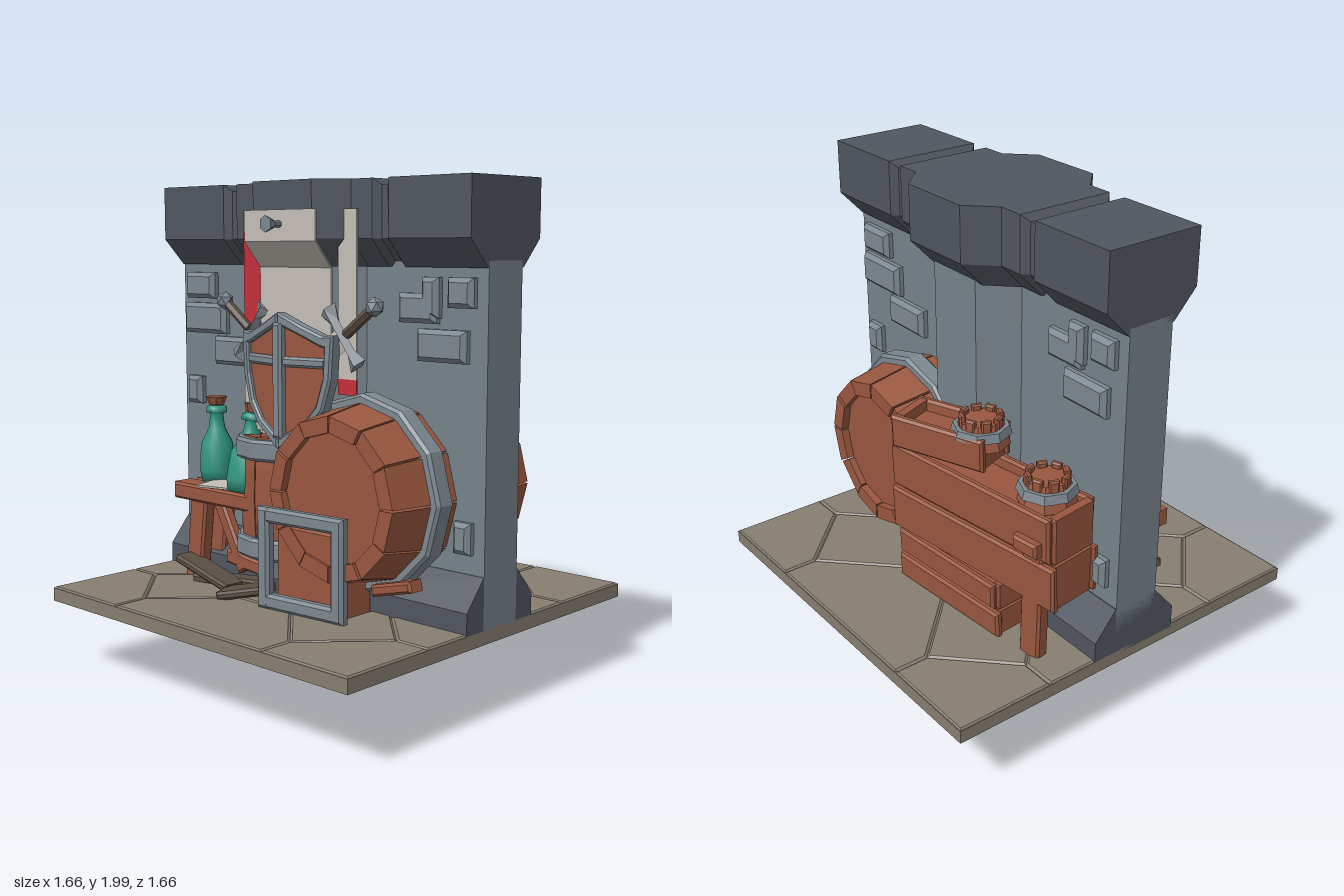
import * as THREE from 'three';

const mat = (name, color) => Object.assign(new THREE.MeshStandardMaterial({ color }), { name });
const M = {
  wall: mat('wall stone', 0x76828a), dark: mat('dark stone', 0x50565f), floor: mat('floor stone', 0x887e71),
  steel: mat('steel', 0x7c878f), wood: mat('red wood', 0x99573f), old: mat('old wood', 0x5b4d42),
  cloth: mat('pale cloth', 0xc4beb6), red: mat('red cloth', 0xc42f38), glass: mat('green glass', 0x2f9780),
};

// Flat-shaded solid through convex rings of [x, y, z] points
function loft(rings) {
  const pos = [], n = rings[0].length;
  const tri = (a, b, c) => pos.push(...a, ...b, ...c);
  for (let i = 0; i + 1 < rings.length; i++)
    for (let j = 0; j < n; j++) {
      const k = (j + 1) % n, A = rings[i], B = rings[i + 1];
      tri(A[j], A[k], B[k]);
      tri(A[j], B[k], B[j]);
    }
  const end = rings[rings.length - 1];
  for (let j = 1; j + 1 < n; j++) {
    tri(rings[0][0], rings[0][j + 1], rings[0][j]);
    tri(end[0], end[j], end[j + 1]);
  }
  // turn the faces outwards
  const a = new THREE.Vector3(), b = new THREE.Vector3(), c = new THREE.Vector3();
  let vol = 0;
  for (let i = 0; i < pos.length; i += 9)
    vol += a.fromArray(pos, i).dot(b.fromArray(pos, i + 3).cross(c.fromArray(pos, i + 6)));
  if (vol < 0) for (let i = 0; i < pos.length; i += 9)
    for (let j = 0; j < 3; j++) [pos[i + 3 + j], pos[i + 6 + j]] = [pos[i + 6 + j], pos[i + 3 + j]];
  const g = new THREE.BufferGeometry();
  g.setAttribute('position', new THREE.Float32BufferAttribute(pos, 3));
  g.computeVertexNormals();
  return g;
}

const flat = (g) => { g = g.index ? g.toNonIndexed() : g; g.computeVertexNormals(); return g; };
const shapeOf = (pts) => new THREE.Shape(pts.map(([x, y]) => new THREE.Vector2(x, y)));

function add(parent, name, geo, m, p = [0, 0, 0], r = [0, 0, 0]) {
  const mesh = new THREE.Mesh(geo, m);
  mesh.name = name;
  mesh.position.set(...p);
  mesh.rotation.set(...r);
  parent.add(mesh);
  return mesh;
}
function group(parent, name, p = [0, 0, 0], r = [0, 0, 0]) {
  const g = new THREE.Group();
  g.name = name;
  g.position.set(...p);
  g.rotation.set(...r);
  parent.add(g);
  return g;
}

// Extrusion with a one-step bevel that keeps the outline size
const slab = (pts, d, b) => new THREE.ExtrudeGeometry(shapeOf(pts), {
  depth: d - 2 * b, bevelThickness: b, bevelSize: b, bevelOffset: -b, bevelSegments: 1,
}).translate(0, 0, b);
const block = (w, h, d, b = 0.01) =>
  slab([[-w / 2, -h / 2], [w / 2, -h / 2], [w / 2, h / 2], [-w / 2, h / 2]], d, b).translate(0, 0, -d / 2);

// Wall, plinth and notched coping, lofted along x
function wall(root) {
  const g = group(root, 'wall');
  const mirror = (s) => [...s.map(([x, ...v]) => [-x, ...v]), ...s.slice().reverse()];
  const ring = (x, prof) => [...prof.map(([y, z]) => [x, y, z]), ...prof.slice().reverse().map(([y, z]) => [x, y, -z])];
  const plan = mirror([[0.83, 0.1], [0.25, 0.1], [0.13, 0.225]]);
  add(g, 'wallBody', loft(plan.map(([x, d]) => ring(x, [[0.34, d], [1.7, d]]))), M.wall);
  add(g, 'plinth', loft(plan.map(([x, d]) => ring(x, [[0.34, d + 0.1], [0.44, d + 0.1], [0.555, d + 0.003]]))), M.dark);
  const cap = mirror([[0.83, 0.207, 2], [0.45, 0.207, 2], [0.425, 0.18, 1.975], [0.395, 0.18, 1.975], [0.37, 0.207, 2],
    [0.265, 0.207, 2], [0.16, 0.312, 2]]);
  add(g, 'coping', loft(cap.map(([x, d, t]) => ring(x, [[1.675, d - 0.1], [1.78, d], [t, d]]))), M.dark);
  // raised bricks: x0, x1, y0, y1, repeated on the back by a half turn
  const bricks = [[-0.79, -0.61, 1.53, 1.64], [-0.8, -0.54, 1.38, 1.51], [-0.61, -0.37, 1.25, 1.37], [-0.79, -0.7, 1.07, 1.19],
    [-0.7, -0.53, 0.65, 0.77], [-0.47, -0.33, 0.79, 0.91], [0.43, 0.61, 1.47, 1.58], [0.54, 0.62, 1.49, 1.64],
    [0.66, 0.78, 1.53, 1.64], [0.52, 0.75, 1.33, 1.45], [0.7, 0.78, 0.63, 0.75]];
  for (const turn of [0, Math.PI]) {
    const side = group(g, 'bricks', [0, 0, 0], [0, turn, 0]);
    for (const [a, b, c, d] of bricks)
      add(side, 'brick', block(b - a, d - c, 0.06, 0.018), M.steel, [(a + b) / 2, (c + d) / 2, 0.107]);
  }
}

// Paving of octagons and diamonds on a hollow tray
function paving(root) {
  const g = group(root, 'floor');
  add(g, 'floorBase', new THREE.BoxGeometry(1.65, 0.01, 1.65), M.floor, [0, 0.34, 0]);
  for (let i = 0; i < 4; i++) {
    const a = i * Math.PI / 2;
    add(g, 'floorEdge', new THREE.BoxGeometry(1.66, 0.054, 0.012), M.floor,
      [0.824 * Math.sin(a), 0.327, 0.824 * Math.cos(a)], [0, a, 0]);
  }
  const p = 0.145, q = 0.415, s = 0.685, e = 0.83;
  const tile = (pts, turn) => add(g, 'floorTile', slab(pts, 0.022, 0.009).rotateX(-Math.PI / 2), M.floor, [0, 0.338, 0], [0, turn, 0]);
  tile([[p, q], [-p, q], [-q, p], [-q, -p], [-p, -q], [p, -q], [q, -p], [q, p]], 0);
  for (let i = 0; i < 4; i++) {
    const a = i * Math.PI / 2;
    tile([[p, q], [q, p], [s, q], [q, s]], a);
    tile([[q, p], [q, -p], [s, -q], [e, -q], [e, q], [s, q]], a);
    tile([[s, q], [e, q], [e, e], [q, e], [q, s]], a);
  }
}

// Barrel along y with separate staves, recessed lids and hoops
function barrel(parent, name, p, r, len, rEnd, rMid, hoopY, hoopW, n = 12) {
  const g = group(parent, name, p, r), half = Math.PI / n - 0.012;
  const rad = (y) => rMid - (rMid - rEnd) * (2 * y / len) ** 2;
  for (let i = 0; i < n; i++) {
    const a = (i + 0.5) * 2 * Math.PI / n, cut = i % 3 === 1 ? 0.985 : 1;
    const rings = [-0.5, -0.25, 0, 0.25, 0.5].map((t) => {
      const y = t * len * cut, R = rad(y), k = rEnd * 0.8;
      return [[a - half, R], [a + half, R], [a + half, k], [a - half, k]].map(([u, v]) => [v * Math.sin(u), y, v * Math.cos(u)]);
    });
    add(g, 'stave', loft(rings), M.wood);
  }
  add(g, 'lid', flat(new THREE.CylinderGeometry(rEnd * 0.83, rEnd * 0.83, len * 0.92, n)), M.wood);
  for (const s of [-1, 1]) {
    const R = rad(hoopY) + 0.03, k = R - 0.07, w = hoopW / 2;
    const prof = [[k, -w], [R - 0.012, -w], [R, -w + 0.012], [R, w - 0.012], [R - 0.012, w], [k, w]].map((v) => new THREE.Vector2(...v));
    add(g, 'hoop', flat(new THREE.LatheGeometry(prof, n)), M.steel, [0, s * hoopY, 0]);
  }
}

// Shield over two crossed swords, measured from the shield centre
function arms(root, y, z) {
  const g = group(root, 'shieldAndSwords', [0, y, z]);
  const outer = [[0, 0.25], [0.11, 0.2], [0.2, 0.165], [0.25, 0.17], [0.24, 0], [0.205, -0.12], [0.14, -0.2], [0, -0.285]];
  const inner = [[0, 0.205], [0.11, 0.16], [0.19, 0.125], [0.21, 0.12], [0.203, 0], [0.172, -0.105], [0.115, -0.175], [0, -0.24]];
  const fold = (geo) => {
    const a = geo.attributes.position;
    for (let i = 0; i < a.count; i++) a.setZ(i, a.getZ(i) - 0.2 * Math.abs(a.getX(i)));
    return flat(geo);
  };
  const rim = fold(slab([...outer, ...inner.slice().reverse()], 0.055, 0.008));
  const panel = fold(new THREE.ExtrudeGeometry(shapeOf(inner), { depth: 0.025, bevelEnabled: false }).translate(0, 0, 0.01));
  const bar = fold(block(0.215, 0.04, 0.05).translate(0.107, 0.06, 0.025));
  for (const s of [1, -1]) {
    const h = group(g, 'shieldHalf');
    h.scale.x = s;
    add(h, 'shieldRim', rim, M.steel);
    add(h, 'shieldPanel', panel, M.wood);
    add(h, 'shieldCrossbar', bar, M.steel);
    // sword pointing along local +x
    const w = group(h, 'sword', [-0.42, 0.28, s > 0 ? -0.06 : -0.045], [0, 0, -0.64]);
    add(w, 'pommel', flat(new THREE.IcosahedronGeometry(0.038, 0)), M.steel);
    add(w, 'grip', flat(new THREE.CylinderGeometry(0.02, 0.02, 0.16, 6)), M.old, [0.1, 0, 0], [0, 0, Math.PI / 2]);
    add(w, 'guard', loft([[-0.13, 0.045], [-0.07, 0.02], [0.07, 0.02], [0.13, 0.045]].map(([v, d]) =>
      [[0.2 - d, v, 0], [0.2, v, 0.025], [0.2 + d, v, 0], [0.2, v, -0.025]])), M.steel);
    add(w, 'blade', loft([[0.2, 0.045], [0.78, 0.06], [0.875, 0.002]].map(([x, v]) =>
      [[x, v, 0], [x, 0, 0.012], [x, -v, 0], [x, 0, -0.012]])), M.cloth);
  }
  add(g, 'shieldSpine', block(0.05, 0.45, 0.06), M.steel, [0, -0.015, 0.03]);
}

// Hanging cloth along a path of [y, z]
function ribbon(root, name, x0, x1, path, m) {
  add(root, name, loft(path.map(([y, z]) => [[x0, y, z], [x1, y, z], [x1, y, z - 0.008], [x0, y, z - 0.008]])), m);
}

function bottle(root, p, r, s) {
  const g = group(root, 'bottle', p, r);
  const prof = [[0, 0], [0.065, 0], [0.075, 0.05], [0.07, 0.16], [0.035, 0.23], [0.028, 0.29], [0.045, 0.295], [0.045, 0.315], [0.03, 0.325], [0, 0.325]];
  add(g, 'bottleGlass', new THREE.LatheGeometry(prof.map(([x, y]) => new THREE.Vector2(x * s, y)), 12), M.glass);
  add(g, 'cork', flat(new THREE.CylinderGeometry(0.045, 0.032, 0.035, 8)), M.wood, [0, 0.345, 0]);
}

export function createModel() {
  const root = new THREE.Group();
  root.name = 'dungeonWall';
  wall(root);
  paving(root);

  barrel(root, 'lyingBarrel', [0.34, 0.82, 0], [Math.PI / 2, 0, 0], 0.82, 0.315, 0.365, 0.19, 0.09);
  barrel(root, 'standingBarrel', [-0.13, 0.75, 0.13], [0, 0, 0], 0.5, 0.2, 0.215, 0.2, 0.085);
  arms(root, 1.25, 0.29);
  arms(root, 0.295, 0.04);

  // banner, side streamers and peg
  ribbon(root, 'banner', -0.2, 0.19, [[1.89, 0.322], [1.77, 0.322], [1.67, 0.238], [1, 0.236]], M.cloth);
  ribbon(root, 'leftStreamer', 0.215, 0.31, [[1.89, 0.225], [1.25, 0.225]], M.cloth);
  ribbon(root, 'leftStreamerEnd', 0.215, 0.31, [[1.25, 0.225], [1.19, 0.225]], M.red);
  ribbon(root, 'rightStreamer', -0.31, -0.21, [[1.89, 0.225], [1.26, 0.225]], M.red);
  ribbon(root, 'rightStreamerEnd', -0.31, -0.21, [[1.26, 0.225], [1, 0.225]], M.cloth);
  add(root, 'pegHead', flat(new THREE.CylinderGeometry(0.033, 0.018, 0.04, 6)), M.steel, [0, 1.835, 0.378], [Math.PI / 2, 0, 0]);
  add(root, 'pegShaft', flat(new THREE.CylinderGeometry(0.013, 0.013, 0.07, 6)), M.steel, [0, 1.835, 0.335], [Math.PI / 2, 0, 0]);

  // front table with bottles and paper
  const table = group(root, 'table');
  add(table, 'tableTop', block(0.49, 0.07, 0.11), M.wood, [-0.41, 0.722, 0.275]);
  add(table, 'tableTop', block(0.47, 0.07, 0.11), M.wood, [-0.41, 0.724, 0.16]);
  for (const z of [0.16, 0.28]) add(table, 'tableLeg', block(0.1, 0.36, 0.06), M.wood, [-0.54, 0.52, z], [0, 0, -0.12]);
  add(table, 'tableBrace', block(0.06, 0.34, 0.05), M.wood, [-0.38, 0.56, 0.24], [0, 0, 0.5]);
  bottle(root, [-0.54, 0.757, 0.18], [0, 0, 0], 1);
  bottle(root, [-0.265, 0.757, 0.275], [-0.12, 0, -0.06], 1.1);
  add(root, 'paper', new THREE.BoxGeometry(0.17, 0.008, 0.15), M.cloth, [-0.41, 0.765, 0.262], [0.02, 0.25, 0]);

  // broken boards on the floor
  for (const [x, y, z, w, h, d, ry, rz, m] of [
    [-0.4, 0.41, 0.35, 0.36, 0.035, 0.11, -0.1, -0.18, M.old], [-0.12, 0.39, 0.4, 0.22, 0.035, 0.13, 0.4, 0.2, M.old],
    [-0.3, 0.38, 0.3, 0.4, 0.04, 0.09, 0.15, 0.06, M.old], [-0.2, 0.44, 0.24, 0.4, 0.06, 0.05, 0, -0.12, M.wood],
    [0.53, 0.49, 0.24, 0.2, 0.045, 0.08, 0, 0.25, M.wood]])
    add(root, 'brokenBoard', block(w, h, d), m, [x, y, z], [0, ry, rz]);

  // small chest with a square steel frame
  add(root, 'chest', block(0.32, 0.36, 0.2), M.wood, [0.21, 0.51, 0.3]);
  const frame = group(root, 'steelFrame', [0.215, 0.56, 0.425], [0, 0.08, 0]);
  for (const s of [-1, 1]) {
    add(frame, 'frameSide', block(0.06, 0.4, 0.05, 0.012), M.steel, [s * 0.182, 0, 0]);
    add(frame, 'frameRail', block(0.42, 0.06, 0.048, 0.012), M.steel, [0, s * 0.17, 0]);
  }

  // stacked crates behind the wall
  const crate = (name, p, ry, w, d, rows, h) => {
    const g = group(root, name, p, [0, ry, 0]);
    for (let i = 0; i < rows; i++) {
      for (const s of [-1, 1]) {
        add(g, 'crateBoard', block(w - 0.03 * (i % 2), h - 0.012, 0.035), M.wood, [0.012 * (i % 2), h * (i + 0.5), s * d / 2], [s * 0.03, 0, 0]);
        add(g, 'crateEnd', block(0.035, h - 0.012, d), M.wood, [s * (w / 2 - 0.03), h * (i + 0.5), 0]);
      }
    }
    add(g, 'crateFill', block(w - 0.05, h * rows - 0.06, d - 0.02), M.wood, [0, h * rows / 2 - 0.02, 0]);
  };
  crate('lowerCrate', [-0.18, 0.35, -0.31], 0.08, 0.6, 0.2, 2, 0.12);
  crate('middleCrate', [-0.31, 0.6, -0.29], 0.13, 0.88, 0.22, 2, 0.2);
  crate('upperCrate', [-0.09, 0.99, -0.32], 0.36, 0.42, 0.18, 1, 0.15);
  add(root, 'crateLeg', block(0.1, 0.5, 0.06), M.wood, [-0.64, 0.59, -0.34], [0, 0.13, 0.03]);
  add(root, 'crateLeg', block(0.12, 0.06, 0.16), M.wood, [-0.64, 0.86, -0.33], [0, 0.13, 0]);

  // hooped kegs with a crown of stave ends
  for (const [x, y, z] of [[-0.22, 1.13, -0.27], [-0.57, 1.02, -0.23]]) {
    const keg = group(root, 'keg', [x, y, z]);
    add(keg, 'kegBody', flat(new THREE.CylinderGeometry(0.085, 0.115, 0.1, 8)), M.wood, [0, -0.01, 0]);
    add(keg, 'kegHoop', flat(new THREE.CylinderGeometry(0.11, 0.12, 0.035, 8)), M.steel);
    for (let i = 0; i < 8; i++) {
      const a = (i + 0.5) * Math.PI / 4;
      add(keg, 'kegStave', block(0.04, 0.055, 0.025, 0.006), M.wood, [0.075 * Math.sin(a), 0.035, 0.075 * Math.cos(a)], [0, a, 0]);
    }
  }
  return root;
}
